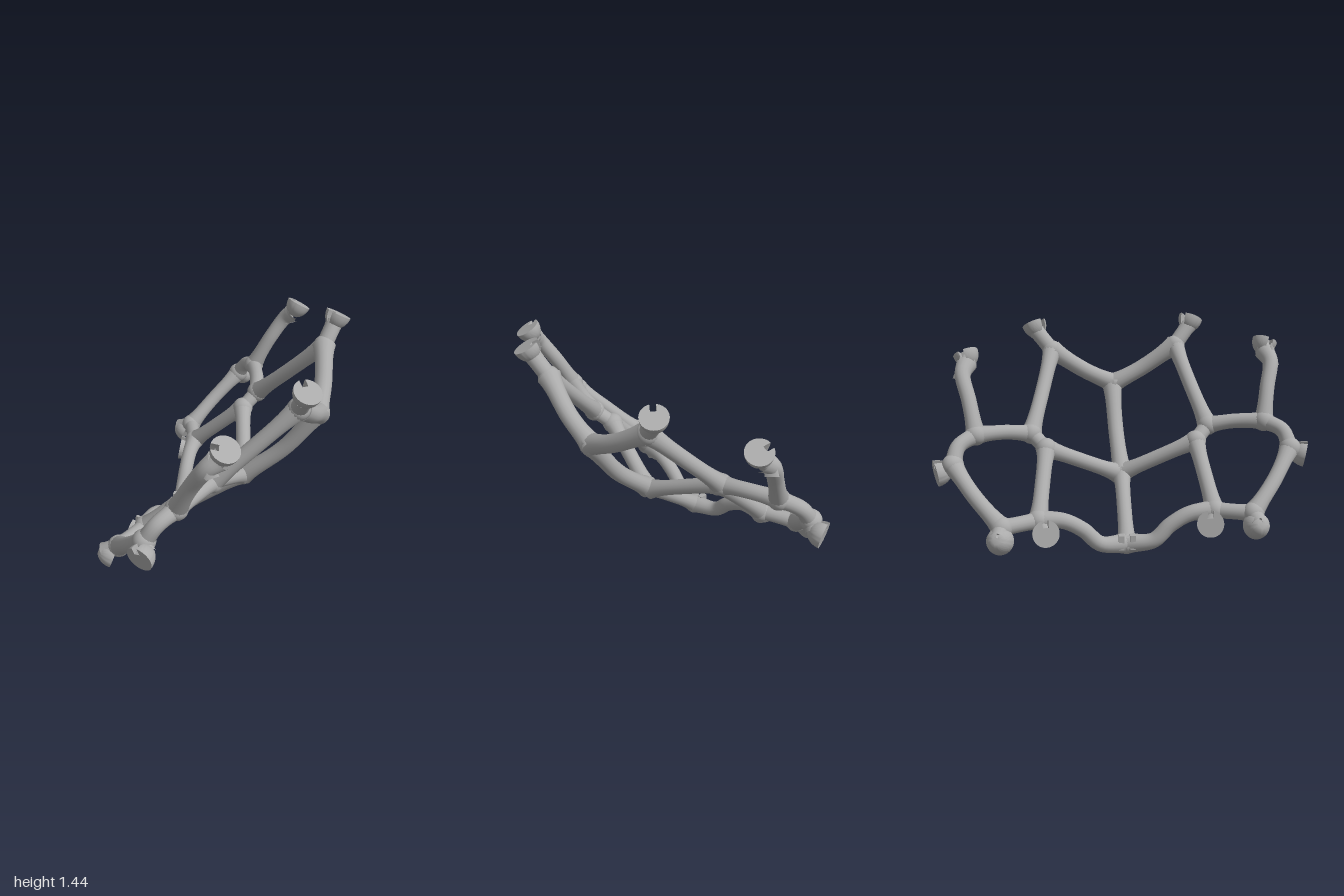
import * as THREE from 'three';
import { mergeVertices, toCreasedNormals } from 'three/addons/utils/BufferGeometryUtils.js';

const V = (p) => new THREE.Vector3(...p);

// Wing joints on one side; the other side swaps x and z and sits slightly lower
const N = {
  upper: [0.08, 1.21, 0.68], cross: [-0.35, 0.73, 0.46], crossLow: [-0.34, 0.64, 0.34],
  lower: [-0.64, 0.28, 0.12], corner: [-0.86, 0.28, 0.21], side: [-0.87, 0.62, 0.62],
  shoulder: [-0.67, 0.77, 0.63],
};
// Joints along the central spine
const S = { top: [0.42, 0.94, 0.41], mid: [0.08, 0.41, 0.1], low: [-0.22, 0.065, -0.215] };

const STRUTS = [
  ['upperStrut', N.upper, [0.27, 1.05, 0.55], S.top],
  ['diagonalStrut', N.upper, [-0.13, 0.97, 0.57], N.cross],
  ['crossLink', N.cross, N.crossLow],
  ['middleStrut', N.crossLow, S.mid],
  ['lowerDiagonalStrut', N.crossLow, N.lower],
  ['wavyRail', N.lower, [-0.53, 0.26, 0.02], [-0.44, 0.19, -0.06], [-0.36, 0.09, -0.13], S.low],
  ['cornerStrut', N.lower, N.corner],
  ['sideStrut', N.corner, [-0.88, 0.45, 0.42], N.side],
  ['shoulderBend', N.side, [-0.8, 0.72, 0.645], N.shoulder],
  ['shoulderStrut', N.shoulder, [-0.5, 0.76, 0.55], N.cross],
  ['raisedArm', N.shoulder, [-0.63, 0.97, 0.73], [-0.59, 1.13, 0.83], [-0.53, 1.19, 0.86]],
];

// Notched cups: joint, centre of the flat face, direction it faces, notch direction
const CUPS = [
  ['upperCup', N.upper, [0.04, 1.395, 0.81], [0, 0.88, 0.47], [0.1, 0.2, -1]],
  ['armCup', [-0.55, 1.18, 0.85], [-0.51, 1.26, 0.89], [0.05, 0.85, 0.5], [-1, 0.3, -0.5]],
  ['sideCup', N.side, [-0.94, 0.575, 0.7], [-0.75, -0.15, 0.4], [0, 1, -0.3]],
  ['cornerCup', N.corner, [-0.89, 0.21, 0.19], [0.75, -0.36, 0.5], [0.2, 1, 0]],
  ['lowerCup', N.lower, [-0.68, 0.22, 0.02], [-0.5, 0.15, -0.7], [0, 1, 0]],
];

export function createModel() {
  const model = new THREE.Group();
  model.name = 'latticeFrame';
  const grey = new THREE.MeshStandardMaterial({ color: 0xababab });
  grey.name = 'grey';

  const add = (parent, name, geometry) => {
    const mesh = new THREE.Mesh(geometry, grey);
    mesh.name = name;
    parent.add(mesh);
    return mesh;
  };

  // Round strut that swells where it meets the joints
  function strut(parent, name, points, r = 0.048, flare = 0.02) {
    const curve = new THREE.CatmullRomCurve3(points.map(V), false, 'centripetal');
    const rows = 24, sides = 16;
    const geo = new THREE.TubeGeometry(curve, rows, 1, sides, false);
    const pos = geo.attributes.position, v = new THREE.Vector3();
    for (let i = 0; i <= rows; i++) {
      const c = curve.getPointAt(i / rows);
      const k = r + flare * Math.pow(Math.abs((2 * i) / rows - 1), 4);
      for (let j = 0; j <= sides; j++) {
        const n = i * (sides + 1) + j;
        v.fromBufferAttribute(pos, n).sub(c).multiplyScalar(k).add(c);
        pos.setXYZ(n, v.x, v.y, v.z);
      }
    }
    add(parent, name, geo);
  }

  function joint(parent, p, r = 0.068) {
    add(parent, 'joint', new THREE.SphereGeometry(r, 20, 14)).position.set(...p);
  }

  // Domed cup with a flat face and a square notch in its rim
  const R = 0.082, DEPTH = 0.095;
  const outline = new THREE.Shape();
  const gap = Math.asin(0.018 / R);
  outline.absarc(0, 0, R, gap, Math.PI * 2 - gap, false);
  outline.lineTo(0.035, -0.018);
  outline.lineTo(0.035, 0.018);
  outline.closePath();
  const raw = new THREE.ExtrudeGeometry(outline, { depth: DEPTH, steps: 8, bevelEnabled: false, curveSegments: 28 });
  raw.translate(0, 0, -DEPTH);
  const rp = raw.attributes.position;
  for (let i = 0; i < rp.count; i++) {
    const t = -rp.getZ(i) / DEPTH;
    const k = Math.sqrt(Math.max(0, 1 - 0.88 * t * t));
    rp.setXY(i, rp.getX(i) * k, rp.getY(i) * k);
  }
  raw.deleteAttribute('normal');
  raw.deleteAttribute('uv');
  const cupGeo = toCreasedNormals(mergeVertices(raw), 0.7);

  function cup(parent, name, from, at, facing, notch) {
    const n = V(facing).normalize();
    const u = V(notch);
    u.addScaledVector(n, -u.dot(n)).normalize();
    const w = new THREE.Vector3().crossVectors(n, u);
    const mesh = add(parent, name, cupGeo);
    mesh.quaternion.setFromRotationMatrix(new THREE.Matrix4().makeBasis(u, w, n));
    mesh.position.set(...at);
    const back = V(at).addScaledVector(n, -0.06).toArray();
    strut(parent, name + 'Neck', [from, back], 0.052, 0.006);
  }

  // Two wings, mirrored across the plane x = z
  for (const mirrored of [false, true]) {
    const wing = new THREE.Group();
    wing.name = mirrored ? 'leftWing' : 'rightWing';
    const m = ([x, y, z]) => (mirrored ? [z, y - 0.045 * (z - x), x] : [x, y, z]);
    const d = ([x, y, z]) => (mirrored ? [z, y, x] : [x, y, z]);
    for (const [name, ...pts] of STRUTS) strut(wing, name, pts.map(m), name === 'upperStrut' ? 0.055 : 0.048);
    for (const p of Object.values(N)) joint(wing, m(p));
    for (const [name, from, at, facing, notch] of CUPS) cup(wing, name, m(from), m(at), d(facing), d(notch));
    // Small pointed clip beside the arm cup
    const clip = add(wing, 'armClip', new THREE.ConeGeometry(0.055, 0.15, 4));
    clip.position.set(...m([-0.585, 1.18, 0.85]));
    clip.rotation.set(0, Math.PI / 4, 0);
    model.add(wing);
  }

  // Central spine
  const spine = new THREE.Group();
  spine.name = 'spine';
  strut(spine, 'upperSpine', [S.top, [0.275, 0.655, 0.275], S.mid], 0.052);
  strut(spine, 'lowerSpine', [S.mid, S.low], 0.047);
  for (const p of Object.values(S)) joint(spine, p, 0.066);
  // Notched clip at the foot of the spine
  for (const s of [-1, 1]) {
    const tab = add(spine, 'footClip', new THREE.BoxGeometry(0.035, 0.09, 0.05));
    tab.position.set(-0.245 + s * 0.025, 0.085, -0.245 - s * 0.025);
    tab.rotation.y = Math.PI / 4;
  }
  model.add(spine);
  return model;
}
